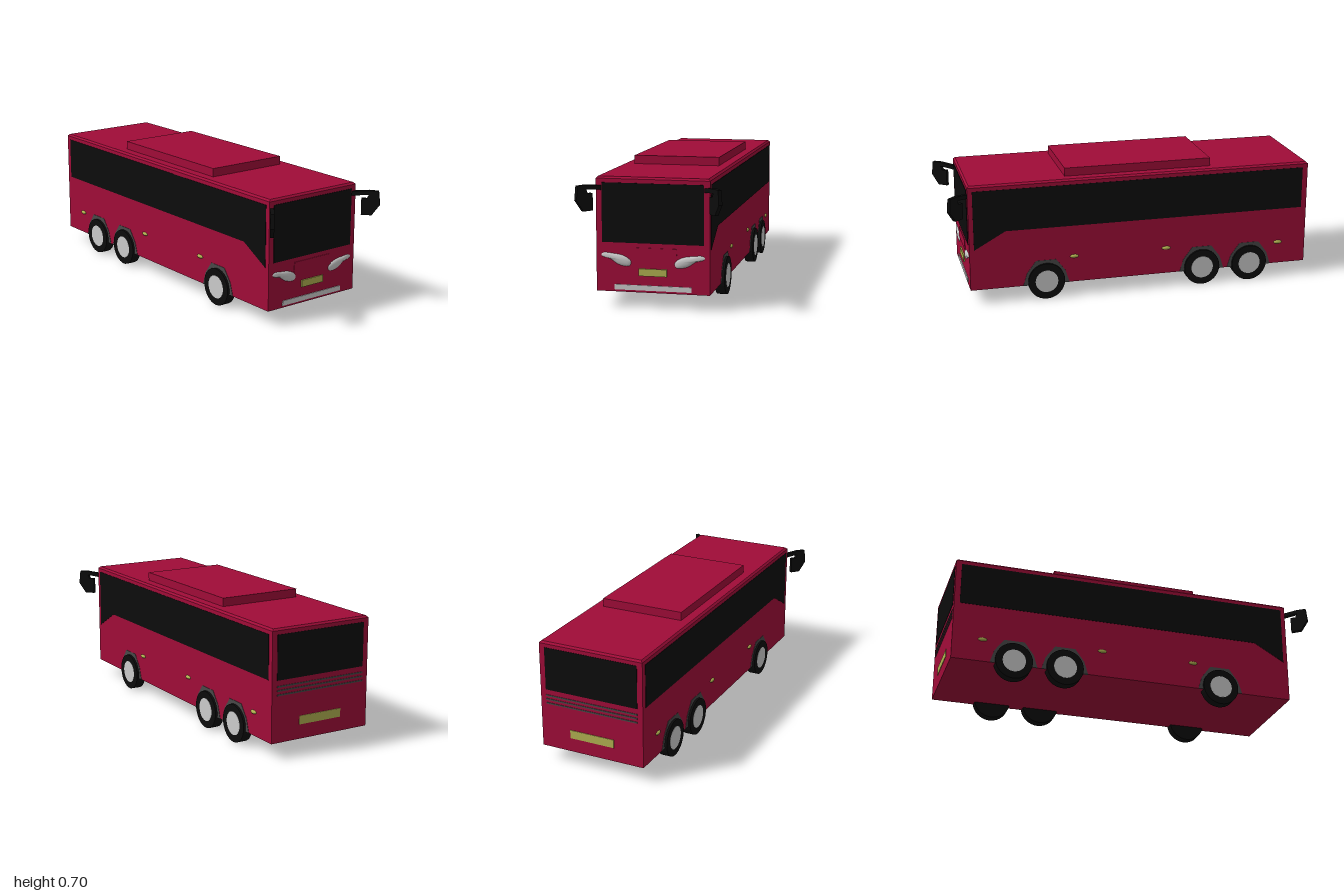
import * as THREE from 'three';

const mat = (color) => new THREE.MeshStandardMaterial({ color, flatShading: true });

export function createModel() {
  const bus = new THREE.Group();
  const red = mat(0xa00c38), black = mat(0x0c0c0c), dark = mat(0x484848);
  const grey = mat(0xcccccc), yellow = mat(0xb0b050);
  const smoothYellow = new THREE.MeshStandardMaterial({ color: 0xb0b050 });
  const lampWhite = new THREE.MeshStandardMaterial({ color: 0xeeeeee, side: THREE.DoubleSide });

  const add = (name, geo, material, x = 0, y = 0, z = 0) => {
    const m = new THREE.Mesh(geo, material);
    m.name = name;
    m.position.set(x, y, z);
    bus.add(m);
    return m;
  };
  // box given by its min and max on each axis
  const box = (name, material, x0, x1, y0, y1, z0, z1) =>
    add(name, new THREE.BoxGeometry(x1 - x0, y1 - y0, z1 - z0), material,
      (x0 + x1) / 2, (y0 + y1) / 2, (z0 + z1) / 2);
  const shapeOf = (pts) => new THREE.Shape(pts.map(([x, y]) => new THREE.Vector2(x, y)));
  const plate = (pts, depth) => new THREE.ExtrudeGeometry(shapeOf(pts), { depth, bevelEnabled: false });

  // body, chamfered roof edge and roof unit
  box('body', red, -1, 0.89, 0.08, 0.65, -0.29, 0.29);
  const roof = box('roof', red, -1, 0.89, 0.65, 0.66, -0.29, 0.29);
  const p = roof.geometry.attributes.position;
  for (let i = 0; i < p.count; i++) {
    if (p.getY(i) < 0) continue;
    p.setX(i, p.getX(i) - Math.sign(p.getX(i)) * 0.01);
    p.setZ(i, p.getZ(i) - Math.sign(p.getZ(i)) * 0.01);
  }
  roof.geometry.computeVertexNormals();
  box('roofUnit', red, -0.45, 0.36, 0.655, 0.705, -0.23, 0.23);

  // front and rear fittings
  box('windscreen', black, 0.88, 0.893, 0.33, 0.63, -0.26, 0.26);
  box('rearWindow', black, -1.002, -0.99, 0.40, 0.63, -0.26, 0.26);
  box('frontPlate', yellow, 0.88, 0.897, 0.165, 0.202, -0.072, 0.072);
  box('rearPlate', yellow, -1.003, -0.99, 0.155, 0.2, -0.125, 0.125);
  box('frontGrille', grey, 0.88, 0.894, 0.091, 0.117, -0.197, 0.197);
  for (const y of [0.325, 0.347, 0.368])
    box('rearVent', dark, -1.003, -0.99, y - 0.004, y + 0.004, -0.26, 0.26);
  const nose = add('nosePanel', plate([[-0.125, 0.248], [0.125, 0.248], [0.12, 0.307], [-0.12, 0.307]], 0.008), red, 0.885);
  nose.rotation.y = Math.PI / 2;

  // teardrop headlight outline (z, y), domed outwards in rings
  const outline = new THREE.CatmullRomCurve3([
    [0.268, 0.265], [0.255, 0.277], [0.21, 0.275], [0.16, 0.268], [0.125, 0.252], [0.11, 0.233],
    [0.117, 0.214], [0.14, 0.21], [0.18, 0.22], [0.22, 0.246], [0.258, 0.256],
  ].map(([z, y]) => new THREE.Vector3(0, y, z)), true).getPoints(40);
  const headlight = (side) => {
    const rings = 6, n = outline.length, pos = [], idx = [];
    for (let r = 0; r <= rings; r++) {
      const a = (r / rings) * Math.PI / 2, s = Math.cos(a);
      for (const q of outline)
        pos.push(0.888 + 0.012 * Math.sin(a), 0.246 + (q.y - 0.246) * s, side * (0.165 + (q.z - 0.165) * s));
    }
    for (let r = 0; r < rings; r++) for (let i = 0; i < n - 1; i++) {
      const a = r * n + i, b = a + 1, c = a + n, d = c + 1;
      if (side > 0) idx.push(a, c, b, b, c, d);
      else idx.push(a, b, c, b, d, c);
    }
    // face the dome towards +x
    const g = new THREE.BufferGeometry();
    g.setAttribute('position', new THREE.Float32BufferAttribute(pos, 3));
    g.setIndex(idx);
    g.computeVertexNormals();
    if (g.attributes.normal.getX(3 * n + 5) < 0) {
      g.setIndex(idx.reverse());
      g.computeVertexNormals();
    }
    return g;
  };

  // profiles shared by both sides
  const windowPts = [[-0.97, 0.63], [-0.97, 0.40], [0.695, 0.40], [0.865, 0.305], [0.865, 0.63]];
  const archPts = [[-0.127, -0.02], [0.127, -0.02], [0.105, 0.05], [0.055, 0.117], [-0.055, 0.117], [-0.105, 0.05]];
  const mirrorPts = [[0, 0.615], [0, 0.592], [0.088, 0.602], [0.078, 0.58], [0.05, 0.58], [0.05, 0.493],
    [0.105, 0.493], [0.146, 0.55], [0.138, 0.622], [0.09, 0.624]];

  for (const s of [1, -1]) {
    const side = s > 0 ? 'left' : 'right';
    add(side + 'Headlight', headlight(s), lampWhite);
    add(side + 'SideWindow', plate(windowPts, 0.01), black, 0, 0, s * 0.287 - 0.005);

    // wheels with hubs and faceted arches
    for (const x of [-0.67, -0.395, 0.48]) {
      add(side + 'WheelArch', plate(archPts, 0.01), dark, x, 0.1, s * 0.287 - 0.005);
      const tyre = add(side + 'Tyre', new THREE.CylinderGeometry(0.1, 0.1, 0.052, 32), black, x, 0.1, s * 0.278);
      const hub = add(side + 'Hub', new THREE.CylinderGeometry(0.062, 0.062, 0.052, 32), grey, x, 0.1, s * 0.279);
      tyre.rotation.x = hub.rotation.x = Math.PI / 2;
    }

    // side marker lamps
    for (const [x, y] of [[-0.84, 0.204], [-0.19, 0.226], [0.325, 0.226]])
      add(side + 'MarkerLamp', new THREE.SphereGeometry(1, 20, 12), smoothYellow, x, y, s * 0.29).scale.set(0.024, 0.01, 0.01);

    // mirror arm and head, swung outwards
    const mirrorGeo = plate(mirrorPts, 0.02).translate(0, 0, -0.01);
    add(side + 'Mirror', mirrorGeo, black, 0.885, 0, s * 0.27).rotation.y = -s * Math.atan2(0.09, 0.11);
  }
  return bus;
}
